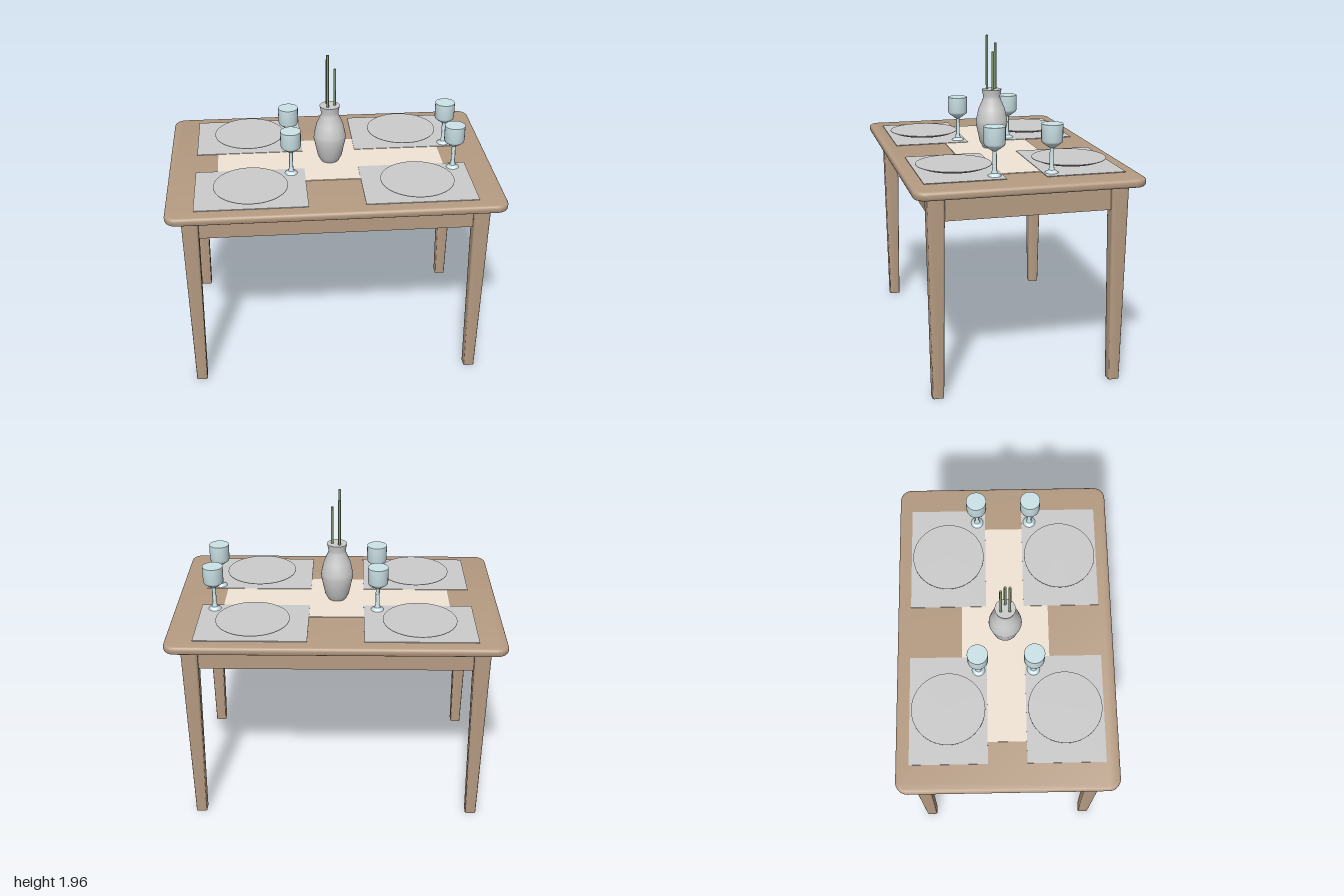
import * as THREE from 'three';
import { toCreasedNormals } from 'three/addons/utils/BufferGeometryUtils.js';

const paint = (color) => new THREE.MeshStandardMaterial({ color });

function roundedRect(w, d, r) {
  const x = w / 2, y = d / 2, s = new THREE.Shape();
  s.moveTo(-x + r, -y);
  s.lineTo(x - r, -y);
  s.absarc(x - r, -y + r, r, -Math.PI / 2, 0);
  s.lineTo(x, y - r);
  s.absarc(x - r, y - r, r, 0, Math.PI / 2);
  s.lineTo(-x + r, y);
  s.absarc(-x + r, y - r, r, Math.PI / 2, Math.PI);
  s.lineTo(-x, -y + r);
  s.absarc(-x + r, -y + r, r, Math.PI, Math.PI * 1.5);
  return s;
}

// Lathe from [radius, height] pairs, running bottom to top
function turned(profile, segments = 32) {
  const points = profile.map(([r, y]) => new THREE.Vector2(r, y));
  return toCreasedNormals(new THREE.LatheGeometry(points, segments), 0.6);
}

export function createModel() {
  const model = new THREE.Group();
  const wood = paint(0xb59b82), cloth = paint(0xf0e4d4), grey = paint(0xcccccc);
  const glass = paint(0xcce3e8), ceramic = paint(0xf0f0ee), green = paint(0x7f9870);

  const add = (name, geometry, material, x, y, z) => {
    const mesh = new THREE.Mesh(geometry, material);
    mesh.name = name;
    mesh.position.set(x, y, z);
    model.add(mesh);
    return mesh;
  };

  // Table top with softened edges
  const bevel = 0.018;
  const top = new THREE.ExtrudeGeometry(roundedRect(2 - 2 * bevel, 1.326 - 2 * bevel, 0.055), {
    depth: 0.05 - 2 * bevel, bevelEnabled: true, bevelThickness: bevel,
    bevelSize: bevel, bevelSegments: 4, curveSegments: 8,
  });
  top.rotateX(-Math.PI / 2);
  add('tableTop', toCreasedNormals(top, 0.6), wood, 0, 1.2 + bevel, 0);

  // Tapered leg, narrowing towards the floor
  const legHeight = 1.2;
  const leg = new THREE.ExtrudeGeometry(roundedRect(0.1, 0.1, 0.015), {
    depth: legHeight, bevelEnabled: false, curveSegments: 4,
  });
  leg.rotateX(-Math.PI / 2);
  const p = leg.attributes.position;
  for (let i = 0; i < p.count; i++) {
    const k = 0.67 + 0.33 * p.getY(i) / legHeight;
    p.setX(i, p.getX(i) * k);
    p.setZ(i, p.getZ(i) * k);
  }
  leg.computeVertexNormals();
  const legGeometry = toCreasedNormals(leg, 0.6);

  // Plate with a narrow foot
  const plate = turned([[0, 0], [0.14, 0], [0.19, 0.01], [0.222, 0.023], [0.222, 0.026], [0, 0.026]], 48);
  const mat = new THREE.BoxGeometry(0.667, 0.004, 0.467);

  // Goblet: foot, stem and straight-sided bowl
  const goblet = turned([
    [0, 0], [0.04, 0], [0.037, 0.006], [0.018, 0.018], [0.013, 0.04], [0.012, 0.145],
    [0.024, 0.152], [0.058, 0.178], [0.062, 0.19], [0.062, 0.285], [0, 0.285],
  ], 24);

  for (const sx of [-1, 1]) {
    for (const sz of [-1, 1]) {
      add('leg', legGeometry, wood, sx * 0.86, 0, sz * 0.53);
      add('placemat', mat, grey, sx * 0.5, 1.255, sz * 0.35);
      add('plate', plate, grey, sx * 0.5, 1.257, sz * 0.35);
      add('goblet', goblet, glass, sx * 0.5 + 0.25, 1.255, sz * 0.167);
    }
  }

  // Aprons between the legs
  const longApron = new THREE.BoxGeometry(1.64, 0.15, 0.04);
  const shortApron = new THREE.BoxGeometry(0.04, 0.15, 0.98);
  for (const s of [-1, 1]) {
    add('longApron', longApron, wood, 0, 1.125, s * 0.53);
    add('shortApron', shortApron, wood, s * 0.86, 1.125, 0);
  }

  add('runner', new THREE.BoxGeometry(1.4, 0.004, 0.534), cloth, 0, 1.252, 0);

  // Vase
  add('vase', turned([
    [0, 0], [0.055, 0], [0.075, 0.035], [0.1, 0.155], [0.098, 0.18],
    [0.082, 0.25], [0.055, 0.31], [0.054, 0.33], [0.062, 0.37], [0, 0.37],
  ]), ceramic, 0, 1.254, 0);

  // Stems standing in the vase: x, z, top height
  for (const [x, z, tip] of [[0.03, 0, 1.86], [-0.015, 0.026, 1.96], [-0.015, -0.026, 1.91]]) {
    const length = tip - 1.5;
    add('stem', new THREE.CylinderGeometry(0.008, 0.008, length, 8), green, x, 1.5 + length / 2, z);
  }

  return model;
}
